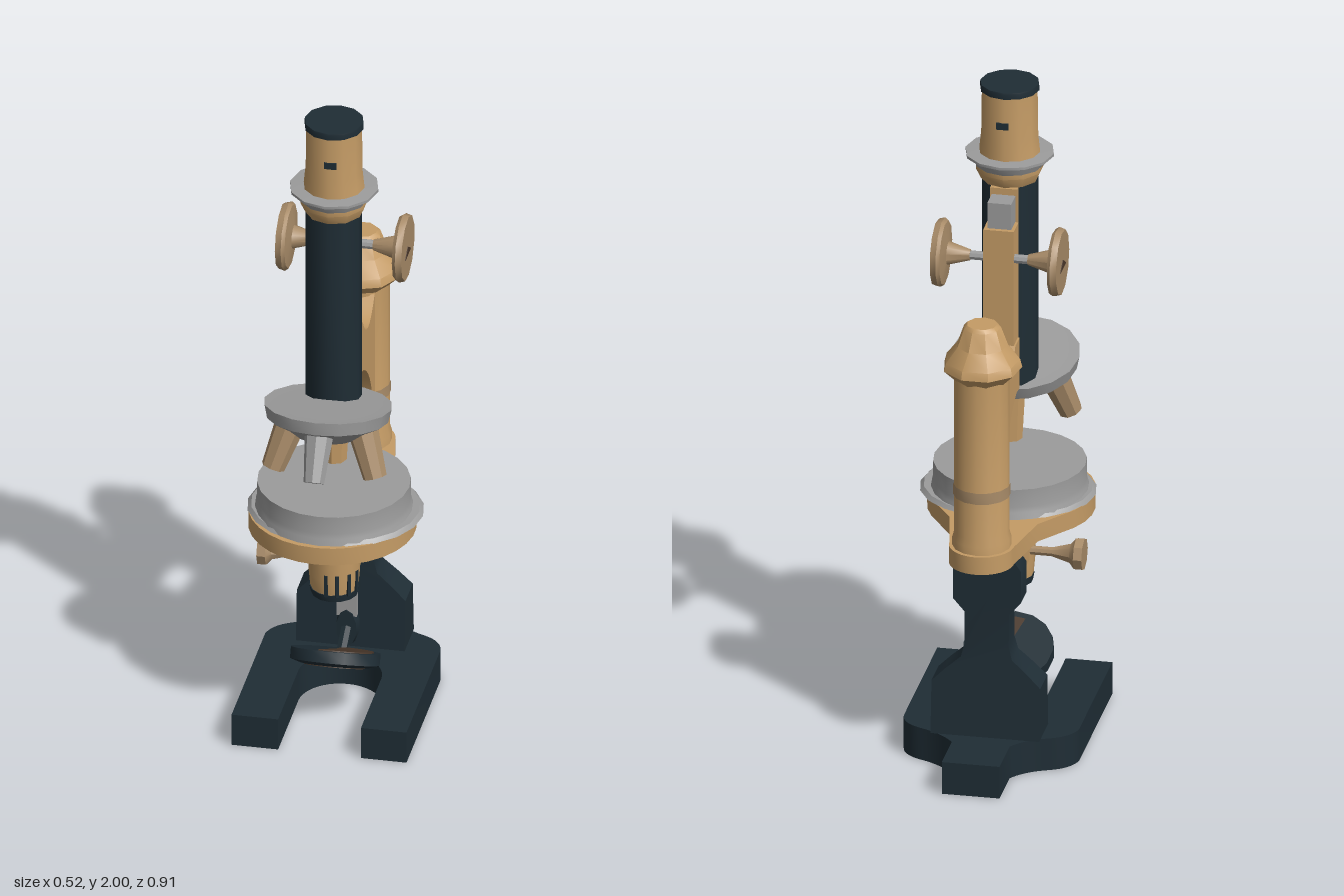
import * as THREE from 'three';
import { toCreasedNormals } from 'three/addons/utils/BufferGeometryUtils.js';

const paint = (name, color) => {
  const m = new THREE.MeshStandardMaterial({ color });
  m.name = name;
  return m;
};

export function createModel() {
  const model = new THREE.Group();
  model.name = 'microscope';
  const iron = paint('blackened iron', 0x1f2d35);
  const brass = paint('brass', 0xc59c66);
  const dullBrass = paint('dull brass', 0xa98c69);
  const steel = paint('steel grey', 0x9c9c9c);
  const brown = paint('dark brown', 0x4a382b);

  const add = (name, geometry, material, x = 0, y = 0, z = 0) => {
    const mesh = new THREE.Mesh(toCreasedNormals(geometry, 0.65), material);
    mesh.name = name;
    mesh.position.set(x, y, z);
    model.add(mesh);
    return mesh;
  };
  // Turned part from [radius, height] pairs, listed bottom to top
  const turned = (pairs, sides = 12) =>
    new THREE.LatheGeometry(pairs.map(([r, y]) => new THREE.Vector2(r, y)), sides);
  const box = (w, h, d) => new THREE.BoxGeometry(w, h, d);
  // Flat plate lying on y = 0, from a plan drawn in (x, -z)
  const plate = (shape, height) =>
    new THREE.ExtrudeGeometry(shape, { depth: height, bevelEnabled: false, curveSegments: 10 }).rotateX(-Math.PI / 2);
  // Turned part running from one point to another
  const spindle = (name, from, to, r0, r1, material, sides = 8) => {
    const a = new THREE.Vector3(...from), b = new THREE.Vector3(...to);
    const dir = b.clone().sub(a);
    const mesh = add(name, new THREE.CylinderGeometry(r1, r0, dir.length(), sides), material);
    mesh.position.copy(a).add(b).multiplyScalar(0.5);
    mesh.quaternion.setFromUnitVectors(new THREE.Vector3(0, 1, 0), dir.normalize());
  };

  // Horseshoe foot
  const foot = new THREE.Shape();
  foot.moveTo(-0.262, -0.33);
  foot.lineTo(-0.125, -0.33);
  foot.lineTo(-0.125, -0.04);
  foot.absarc(-0.003, -0.04, 0.122, Math.PI, 0, true);
  foot.lineTo(0.119, -0.33);
  foot.lineTo(0.253, -0.33);
  foot.lineTo(0.253, 0.15);
  foot.quadraticCurveTo(0.25, 0.21, 0.18, 0.235);
  foot.quadraticCurveTo(0.12, 0.26, 0.08, 0.31);
  foot.lineTo(0.08, 0.455);
  foot.lineTo(-0.09, 0.455);
  foot.lineTo(-0.09, 0.31);
  foot.quadraticCurveTo(-0.12, 0.26, -0.18, 0.235);
  foot.quadraticCurveTo(-0.25, 0.21, -0.262, 0.15);
  add('foot', plate(foot, 0.1), iron);
  for (const s of [-1, 1]) {
    for (const z of [-0.1, 0.235]) add('footPad', box(0.1, 0.006, 0.12), steel, s * 0.19, 0.002, z);
  }

  // Pillar: shouldered front outline, thicker towards the foot
  const half = [[0.16, 0.1], [0.16, 0.26], [0.12, 0.3], [0.075, 0.34], [0.065, 0.38], [0.065, 0.48], [0.1, 0.52], [0.1, 0.62], [0.07, 0.665]];
  const outline = [...half, ...half.map(([x, y]) => [-x, y]).reverse()];
  const pillar = new THREE.ExtrudeGeometry(
    new THREE.Shape(outline.map(([x, y]) => new THREE.Vector2(x, y))), { depth: 1, bevelEnabled: false });
  const pos = pillar.attributes.position;
  for (let i = 0; i < pos.count; i++) {
    const low = Math.max(0, (0.4 - pos.getY(i)) / 0.3);
    const thick = 0.04 + 0.026 * low;
    pos.setZ(i, -0.192 - 0.003 * low + (pos.getZ(i) * 2 - 1) * thick);
  }
  pillar.computeVertexNormals();
  add('pillar', pillar, iron, -0.007, 0, 0);

  // Stage bracket: round under the stage, narrowing back to the column
  const bracket = new THREE.Shape();
  bracket.moveTo(0.1, 0.27);
  bracket.absarc(0, 0.27, 0.095, 0, Math.PI, false);
  bracket.lineTo(-0.13, 0.1);
  bracket.absarc(-0.004, -0.14, 0.244, Math.PI * 0.83, Math.PI * 2.17, false);
  bracket.lineTo(0.13, 0.1);
  add('stageBracket', plate(bracket, 0.055), brass, 0, 0.66, 0);
  add('bracketLug', box(0.2, 0.075, 0.08), brass, 0, 0.625, -0.108);
  // Round stage on a thin flange that is wider from side to side
  add('stage', turned([[0, 0], [0.232, 0], [0.226, 0.02], [0.222, 0.035], [0.222, 0.09], [0, 0.09]], 24), steel, 0, 0.715, 0.138);
  add('stageFlange', new THREE.CylinderGeometry(0.222, 0.232, 0.012, 20).scale(1.11, 1, 0.99), steel, 0.005, 0.72, 0.138);

  // Rear column with its flared cap
  add('column', turned([[0, 0.66], [0.086, 0.66], [0.086, 0.74], [0.08, 0.76], [0.08, 1.25], [0, 1.25]], 14), brass, 0, 0, -0.268);
  add('columnBand', turned([[0.083, 0.875], [0.083, 0.91]], 14), dullBrass, 0, 0, -0.268);
  add('columnCap', turned([[0, 1.24], [0.08, 1.24], [0.116, 1.275], [0.11, 1.3], [0.075, 1.345], [0.055, 1.4], [0.045, 1.41], [0, 1.41]], 9), brass, 0, 0, -0.265);

  // Arm joining the column to the focusing slide, side outline in (-z, y)
  const arm = new THREE.Shape();
  arm.moveTo(0.26, 1.24);
  arm.lineTo(0.2, 1.235);
  arm.quadraticCurveTo(0.1, 1.12, 0.03, 1.24);
  arm.lineTo(-0.03, 1.24);
  arm.lineTo(-0.03, 1.08);
  arm.lineTo(0.01, 1.085);
  arm.quadraticCurveTo(0.16, 1.04, 0.19, 0.82);
  arm.lineTo(0.26, 0.8);
  const armGeo = new THREE.ExtrudeGeometry(arm, { depth: 0.1, bevelEnabled: false, curveSegments: 8 }).rotateY(Math.PI / 2);
  add('arm', armGeo, brass, -0.05, 0, 0);
  add('focusSlide', box(0.09, 0.52, 0.07), brass, 0, 1.34, 0.005);
  add('focusRack', box(0.07, 0.6, 0.068), steel, 0, 1.38, 0.017);
  add('tubeRail', box(0.08, 0.62, 0.016), brass, 0, 1.39, 0.055);
  spindle('slideScrew', [0, 1.295, -0.02], [0, 1.285, -0.13], 0.008, 0.014, brass);

  // Focusing knobs on a cross shaft, each with a small recess in its face
  spindle('knobShaft', [-0.16, 1.51, -0.015], [0.16, 1.51, -0.015], 0.014, 0.014, steel);
  for (const s of [-1, 1]) {
    const knob = add('focusKnob', turned([[0, 0.085], [0.016, 0.085], [0.035, 0.15], [0.095, 0.158], [0.102, 0.168], [0.097, 0.186], [0, 0.186]], 11),
      dullBrass, 0, 1.51, -0.015);
    knob.rotation.z = -s * Math.PI / 2;
    const recess = new THREE.Shape([[-0.04, -0.012], [0.04, -0.012], [0, 0.014]].map(([x, y]) => new THREE.Vector2(x, y)));
    const mark = add('knobRecess', new THREE.ExtrudeGeometry(recess, { depth: 0.004, bevelEnabled: false }), brown, s * 0.184, 1.503, -0.012);
    mark.rotation.y = s * Math.PI / 2;
  }

  // Body tube and eyepiece, with a slot at the front and the back
  const tz = 0.135;
  add('bodyTube', turned([[0, 1.06], [0.082, 1.06], [0.082, 1.705], [0, 1.705]], 10), iron, -0.002, 0, tz);
  add('tubeCollar', turned([[0, 1.695], [0.084, 1.7], [0.098, 1.73], [0.098, 1.755], [0, 1.755]], 10), brass, 0, 0, tz);
  add('tubeFlange', turned([[0, 1.745], [0.1, 1.745], [0.11, 1.768], [0.13, 1.775], [0.13, 1.783], [0, 1.79]], 12), steel, 0, 0, tz);
  add('eyepiece', turned([[0, 1.78], [0.09, 1.782], [0.084, 1.84], [0.082, 1.985], [0, 1.985]], 12), brass, 0, 0, tz);
  add('eyepieceRim', turned([[0, 1.98], [0.087, 1.98], [0.087, 1.995], [0.086, 2], [0, 2]], 12), iron, 0, 0, tz);
  for (const s of [-1, 1]) add('eyepieceSlot', box(0.036, 0.02, 0.008), iron, 0.005, 1.893, tz + s * 0.081);

  // Tilted revolving nosepiece with four objectives
  const nose = add('nosepiece', turned([[0, -0.085], [0.09, -0.08], [0.13, -0.05], [0.178, -0.025], [0.187, 0.015], [0.13, 0.012], [0, 0.025]], 16), steel, 0, 1.09, 0.224);
  nose.rotation.x = -0.2;
  spindle('rearObjective', [0, 1.05, tz], [0, 0.875, tz], 0.047, 0.037, brass);
  spindle('frontObjective', [0, 1.1, 0.335], [0, 0.955, 0.426], 0.045, 0.03, steel);
  for (const s of [-1, 1]) {
    spindle('sideObjective', [s * 0.1, 1.06, 0.235], [s * 0.15, 0.91, 0.28], 0.047, 0.035, dullBrass);
  }

  // Condenser under the stage, slotted near its rim, with a side screw
  const cz = 0.128;
  add('condenser', turned([[0, 0.445], [0.07, 0.445], [0.075, 0.5], [0.077, 0.67], [0, 0.67]], 14), brass, 0, 0, cz);
  add('condenserRim', turned([[0, 0.43], [0.069, 0.43], [0.073, 0.452], [0, 0.452]], 14), iron, 0, 0, cz);
  for (const angle of [-0.15, 0.3, 0.8, 1.25, 1.7]) {
    const slot = add('condenserSlot', box(0.011, 0.07, 0.008), iron, Math.sin(angle) * 0.072, 0.483, cz + Math.cos(angle) * 0.072);
    slot.rotation.y = angle;
  }
  spindle('condenserLug', [0, 0.49, 0.04], [0, 0.66, 0.035], 0.04, 0.06, brass, 10);
  const screw = add('condenserScrew', turned([[0, 0.06], [0.014, 0.06], [0.014, 0.13], [0.03, 0.185], [0.048, 0.2], [0.048, 0.225], [0, 0.225]], 8), dullBrass, 0, 0.535, 0.11);
  screw.rotation.z = Math.PI / 2;

  // Mirror on its hanging bar
  add('mirrorBar', box(0.06, 0.42, 0.022), steel, 0, 0.46, -0.052);
  add('mirrorPivot', new THREE.CylinderGeometry(0.06, 0.068, 0.03, 10).rotateX(Math.PI / 2).scale(0.5, 1, 1), iron, 0, 0.21, -0.053);
  spindle('mirrorStem', [0, 0.21, -0.04], [0, 0.17, 0.03], 0.016, 0.016, iron, 6);
  const tilt = new THREE.Group();
  tilt.name = 'mirror';
  tilt.position.set(0, 0.205, 0.12);
  tilt.rotation.x = -0.47;
  tilt.add(
    add('mirrorFrame', turned([[0, -0.024], [0.1, -0.024], [0.132, -0.014], [0.132, 0.02], [0, 0.02]], 16), iron),
    add('mirrorUpperGlass', new THREE.CylinderGeometry(0.11, 0.11, 0.005, 12, 1, false, -0.3, Math.PI * 1.1), brown, 0, 0.021, 0),
    add('mirrorLowerGlass', turned([[0, 0], [0.09, 0], [0.09, 0.004], [0, 0.004]], 16), brown, 0, -0.027, 0));
  model.add(tilt);

  return model;
}
